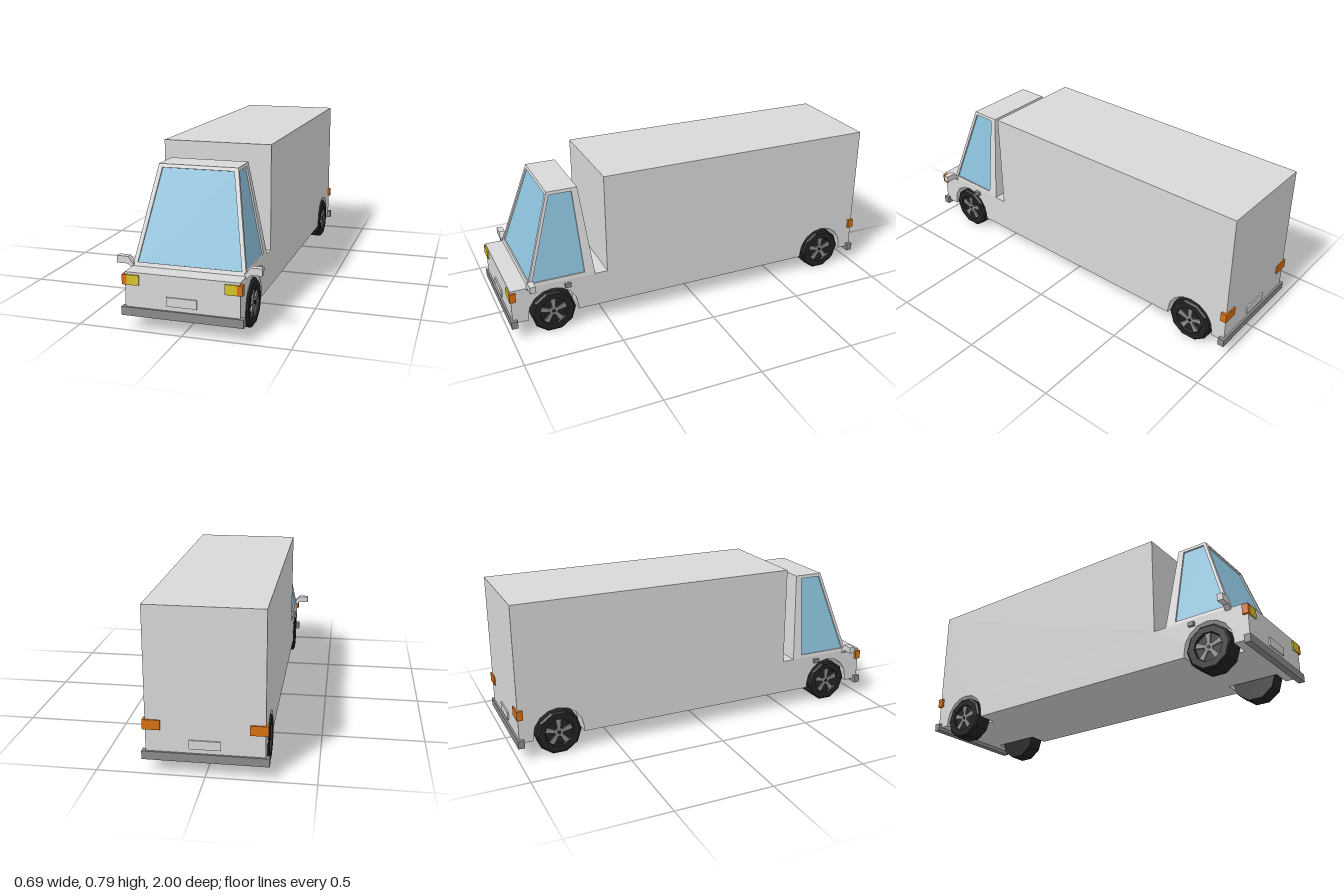
import * as THREE from 'three';

const mat = (name, color) => {
  const m = new THREE.MeshStandardMaterial({ color });
  m.name = name;
  return m;
};

export function createModel() {
  const paint = mat('bodyPaint', 0xd8d8d8);
  const glass = mat('windowGlass', 0x8cc2dd);
  const grey = mat('bumperGrey', 0x8c8c8c);
  const black = mat('tyreBlack', 0x222222);
  const orange = mat('indicatorOrange', 0xd87010);
  const yellow = mat('headlightYellow', 0xd6c42a);

  const truck = new THREE.Group();
  truck.name = 'boxTruck';
  const add = (name, geometry, material, parent = truck) => {
    const mesh = new THREE.Mesh(geometry, material);
    mesh.name = name;
    parent.add(mesh);
    return mesh;
  };
  // box given by its minimum and maximum on each axis
  const box = (name, material, x0, x1, y0, y1, z0, z1) =>
    add(name, new THREE.BoxGeometry(Math.abs(x1 - x0), y1 - y0, Math.abs(z1 - z0)), material)
      .position.set((x0 + x1) / 2, (y0 + y1) / 2, (z0 + z1) / 2);

  // Body: side profile (z, y) extruded across x, with wheel arches in the outer slabs
  const W = 0.27, DECK = 0.273, WELL = 0.165;
  const axles = [-0.79, 0.78];
  const bodySlab = (name, x0, x1, arches) => {
    const pts = [[-0.99, 0.09]];
    if (arches) for (const c of axles) {
      pts.push([c - 0.13, 0.09]);
      for (let i = 0; i <= 8; i++) {
        const a = Math.PI * (1 - i / 8);
        pts.push([c + 0.13 * Math.cos(a), 0.112 + 0.13 * Math.sin(a)]);
      }
      pts.push([c + 0.13, 0.09]);
    }
    pts.push([0.99, 0.09], [0.99, DECK], [0.49, DECK], [0.49, 0.79], [-0.99, 0.79]);
    const shape = new THREE.Shape(pts.map(p => new THREE.Vector2(...p)));
    const g = new THREE.ExtrudeGeometry(shape, { depth: x1 - x0, bevelEnabled: false });
    g.rotateY(-Math.PI / 2).translate(x1, 0, 0);
    add(name, g, paint);
  };
  bodySlab('bodyCore', -WELL, WELL, false);
  bodySlab('bodyLeftSide', WELL, W, true);
  bodySlab('bodyRightSide', -W, -WELL, true);

  // Cab: four-sided tapered shell with recessed windows
  const cab = new THREE.Group();
  cab.name = 'cab';
  truck.add(cab);
  const V = (x, y, z) => new THREE.Vector3(x, y, z);
  const quads = list => {
    const g = new THREE.BufferGeometry().setFromPoints(
      list.flatMap(([a, b, c, d]) => [a, b, c, a, c, d]));
    g.computeVertexNormals();
    return g;
  };
  const windowPanel = (name, outer, inner) => {
    const n = outer[1].clone().sub(outer[0]).cross(outer[3].clone().sub(outer[0])).normalize();
    const back = inner.map(p => p.clone().addScaledVector(n, -0.008));
    const frame = [];
    for (let i = 0; i < 4; i++) {
      const j = (i + 1) % 4;
      frame.push([outer[i], outer[j], inner[j], inner[i]], [inner[i], inner[j], back[j], back[i]]);
    }
    add(name + 'Frame', quads(frame), paint, cab);
    add(name + 'Glass', quads([back]), glass, cab);
  };
  const ROOF = 0.725, RW = 0.19;
  const t = y => (y - DECK) / (ROOF - DECK);
  const sideX = y => W + (RW - W) * t(y);
  const frontZ = y => 0.9 - 0.145 * t(y);
  const front = (x, y) => V(x, y, frontZ(y));
  const side = (y, z) => V(sideX(y), y, z);
  windowPanel('windscreen',
    [front(-W, DECK), front(W, DECK), front(RW, ROOF), front(-RW, ROOF)],
    [front(-0.248, 0.291), front(0.248, 0.291), front(0.172, 0.709), front(-0.172, 0.709)]);
  const outer = [side(DECK, 0.9), side(DECK, 0.555), side(ROOF, 0.6), side(ROOF, 0.755)];
  const inner = [side(0.291, 0.878), side(0.291, 0.608), side(0.709, 0.63), side(0.709, 0.744)];
  const mirror = list => list.map(p => V(-p.x, p.y, p.z)).reverse();
  windowPanel('leftWindow', outer, inner);
  windowPanel('rightWindow', mirror(outer), mirror(inner));
  add('roofAndBack', quads([
    [V(-RW, ROOF, 0.755), V(RW, ROOF, 0.755), V(RW, ROOF, 0.6), V(-RW, ROOF, 0.6)],
    [V(W, DECK, 0.555), V(-W, DECK, 0.555), V(-RW, ROOF, 0.6), V(RW, ROOF, 0.6)],
  ]), paint, cab);

  // Wheel: ten-sided tyre with a recessed face and five spokes, outer face towards +x
  const tyreProfile = [[0, 0], [0.1155, 0], [0.1155, 0.087], [0.106, 0.095], [0.074, 0.095], [0.07, 0.082], [0, 0.082]];
  const tyreGeo = new THREE.LatheGeometry(tyreProfile.map(p => new THREE.Vector2(...p)), 10)
    .toNonIndexed();
  tyreGeo.computeVertexNormals();
  tyreGeo.rotateZ(-Math.PI / 2);
  const spokeShape = new THREE.Shape([[-0.007, 0.016], [0.007, 0.016], [0.014, 0.068], [-0.014, 0.068]]
    .map(p => new THREE.Vector2(...p)));
  const spokeGeo = new THREE.ExtrudeGeometry(spokeShape, { depth: 0.008, bevelEnabled: false })
    .rotateY(Math.PI / 2).translate(0.082, 0, 0);
  const hubGeo = new THREE.CylinderGeometry(0.022, 0.022, 0.008, 10)
    .rotateZ(Math.PI / 2).translate(0.086, 0, 0);
  const capGeo = new THREE.CylinderGeometry(0.01, 0.01, 0.003, 10)
    .rotateZ(Math.PI / 2).translate(0.0905, 0, 0);

  for (const s of [1, -1]) {
    const sideName = s > 0 ? 'left' : 'right';
    for (const z of axles) {
      const wheel = new THREE.Group();
      wheel.name = sideName + (z > 0 ? 'FrontWheel' : 'RearWheel');
      wheel.position.set(s * 0.18, 0.11, z);
      if (s < 0) wheel.rotation.y = Math.PI;
      add('tyre', tyreGeo, black, wheel);
      add('hub', hubGeo, grey, wheel);
      add('hubCap', capGeo, black, wheel);
      for (let i = 0; i < 5; i++) add('spoke', spokeGeo, grey, wheel).rotation.x = i * Math.PI * 0.4;
      truck.add(wheel);
    }

    // Lights wrapping round the corners
    box(sideName + 'Headlight', yellow, s * 0.201, s * 0.258, 0.215, 0.262, 0.989, 0.997);
    box(sideName + 'FrontIndicator', orange, s * 0.258, s * 0.282, 0.215, 0.262, 0.989, 0.997);
    box(sideName + 'FrontIndicatorSide', orange, s * 0.269, s * 0.282, 0.215, 0.262, 0.966, 0.989);
    box(sideName + 'TailLight', orange, s * 0.201, s * 0.282, 0.215, 0.262, -0.997, -0.989);
    box(sideName + 'TailLightSide', orange, s * 0.269, s * 0.282, 0.215, 0.262, -0.989, -0.966);
    box(sideName + 'DoorHandle', grey, s * 0.268, s * 0.286, 0.235, 0.256, 0.685, 0.716);

    // Wing mirror with its slanted arm
    const pts = [[0.262, 0.287], [0.27, 0.262], [0.292, 0.283], [0.345, 0.283], [0.345, 0.317], [0.289, 0.317], [0.268, 0.287]];
    const shape = new THREE.Shape(pts.map(([x, y]) => new THREE.Vector2(s * x, y)));
    add(sideName + 'Mirror',
      new THREE.ExtrudeGeometry(shape, { depth: 0.03, bevelEnabled: false }).translate(0, 0, 0.878), paint);
  }

  // Bumpers and blank plates at both ends
  for (const e of [1, -1]) {
    const end = e > 0 ? 'front' : 'rear';
    box(end + 'Bumper', grey, -0.288, 0.288, 0.07, 0.11, e * 0.968, e * 1);
    box(end + 'Plate', paint, -0.072, 0.072, 0.132, 0.174, e * 0.989, e * 0.997);
  }
  return truck;
}
